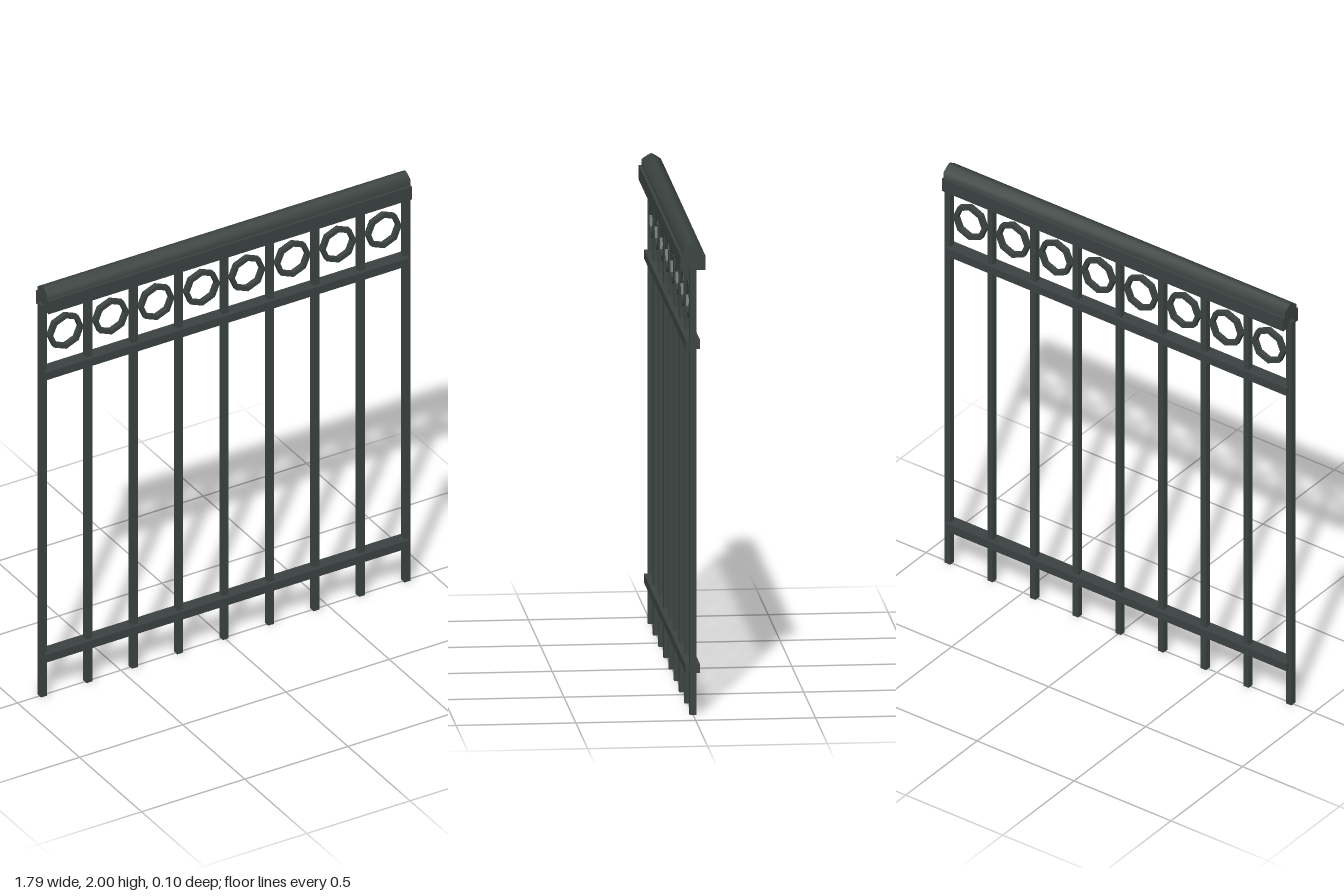
import * as THREE from 'three';
import { toCreasedNormals } from 'three/addons/utils/BufferGeometryUtils.js';

const SPACING = 0.22, BARS = 9, LENGTH = 1.76;

export function createModel() {
  const group = new THREE.Group();
  group.name = 'railing';
  const iron = new THREE.MeshStandardMaterial({ color: 0x3a4240 });
  iron.name = 'dark iron';

  const add = (name, geometry, x, y, z = 0) => {
    const mesh = new THREE.Mesh(geometry, iron);
    mesh.name = name;
    mesh.position.set(x, y, z);
    group.add(mesh);
    return mesh;
  };

  // Upright bars
  const bar = new THREE.BoxGeometry(0.028, 1.915, 0.028);
  for (let i = 0; i < BARS; i++) {
    add('uprightBar', bar, (i - (BARS - 1) / 2) * SPACING, 1.915 / 2);
  }

  // Lower and middle cross rails
  const rail = new THREE.BoxGeometry(LENGTH, 0.038, 0.06);
  add('lowerRail', rail, 0, 0.193);
  add('middleRail', rail, 0, 1.572);

  // Handrail: wide base with a ridged cap
  add('handrailBase', new THREE.BoxGeometry(LENGTH, 0.062, 0.104), 0, 1.919);
  const profile = new THREE.Shape([
    [-0.04, 1.94], [0.04, 1.94], [0.04, 1.976], [0.012, 1.995],
    [0, 2], [-0.012, 1.995], [-0.04, 1.976],
  ].map(([z, y]) => new THREE.Vector2(z, y)));
  const cap = new THREE.ExtrudeGeometry(profile, { depth: LENGTH, bevelEnabled: false });
  cap.translate(0, 0, -LENGTH / 2).rotateY(Math.PI / 2);
  add('handrailCap', toCreasedNormals(cap, 1.1), 0, 0);

  // Eight-sided rings between the bars
  const octagon = (r) => Array.from({ length: 8 }, (_, i) =>
    new THREE.Vector2(r * Math.cos(i * Math.PI / 4), r * Math.sin(i * Math.PI / 4)));
  const ringShape = new THREE.Shape(octagon(0.084));
  ringShape.holes.push(new THREE.Path(octagon(0.064)));
  const ring = new THREE.ExtrudeGeometry(ringShape, { depth: 0.024, bevelEnabled: false });
  ring.translate(0, 0, -0.012);
  for (let i = 0; i < BARS - 1; i++) {
    add('ring', ring, (i - (BARS - 2) / 2) * SPACING, 1.747);
  }

  return group;
}
